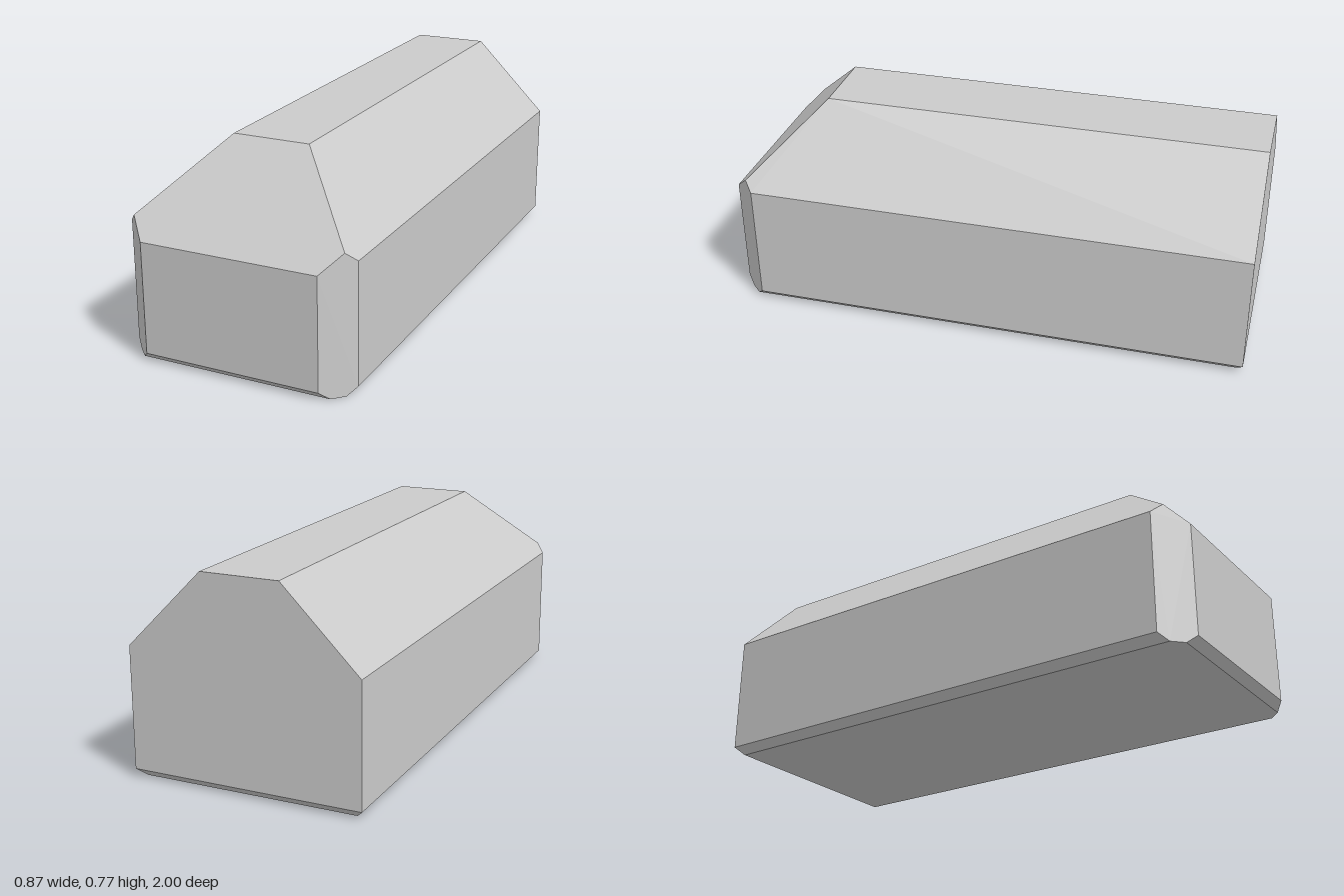
import * as THREE from 'three';
import { ConvexGeometry } from 'three/addons/geometries/ConvexGeometry.js';

// Corners of the right half of the bevelled block, mirrored across x = 0
const CORNERS = [
  // back end
  [0.407, 0, -0.97], [0.437, 0.03, -1], [0.437, 0.483, -1], [0.147, 0.773, -1],
  // front end of the flat top and the corner where roof, slope and chamfer meet
  [0.147, 0.773, 0.677], [0.4035, 0.5165, 0.9335],
  // vertical corner chamfer: side edge, then front edge
  [0.437, 0.483, 0.9], [0.437, 0.03, 0.9], [0.407, 0, 0.93],
  [0.337, 0.45, 1], [0.337, 0.03, 1], [0.367, 0, 0.97],
];

export function createModel() {
  const group = new THREE.Group();
  group.name = 'bevelledBlock';

  // Solid faceted body with sloped roof sides and front
  const points = CORNERS.flatMap(([x, y, z]) => [
    new THREE.Vector3(x, y, z),
    new THREE.Vector3(-x, y, z),
  ]);
  const body = new THREE.Mesh(
    new ConvexGeometry(points),
    new THREE.MeshStandardMaterial({ color: 0xcccccc, flatShading: true }),
  );
  body.name = 'body';
  group.add(body);
  return group;
}
